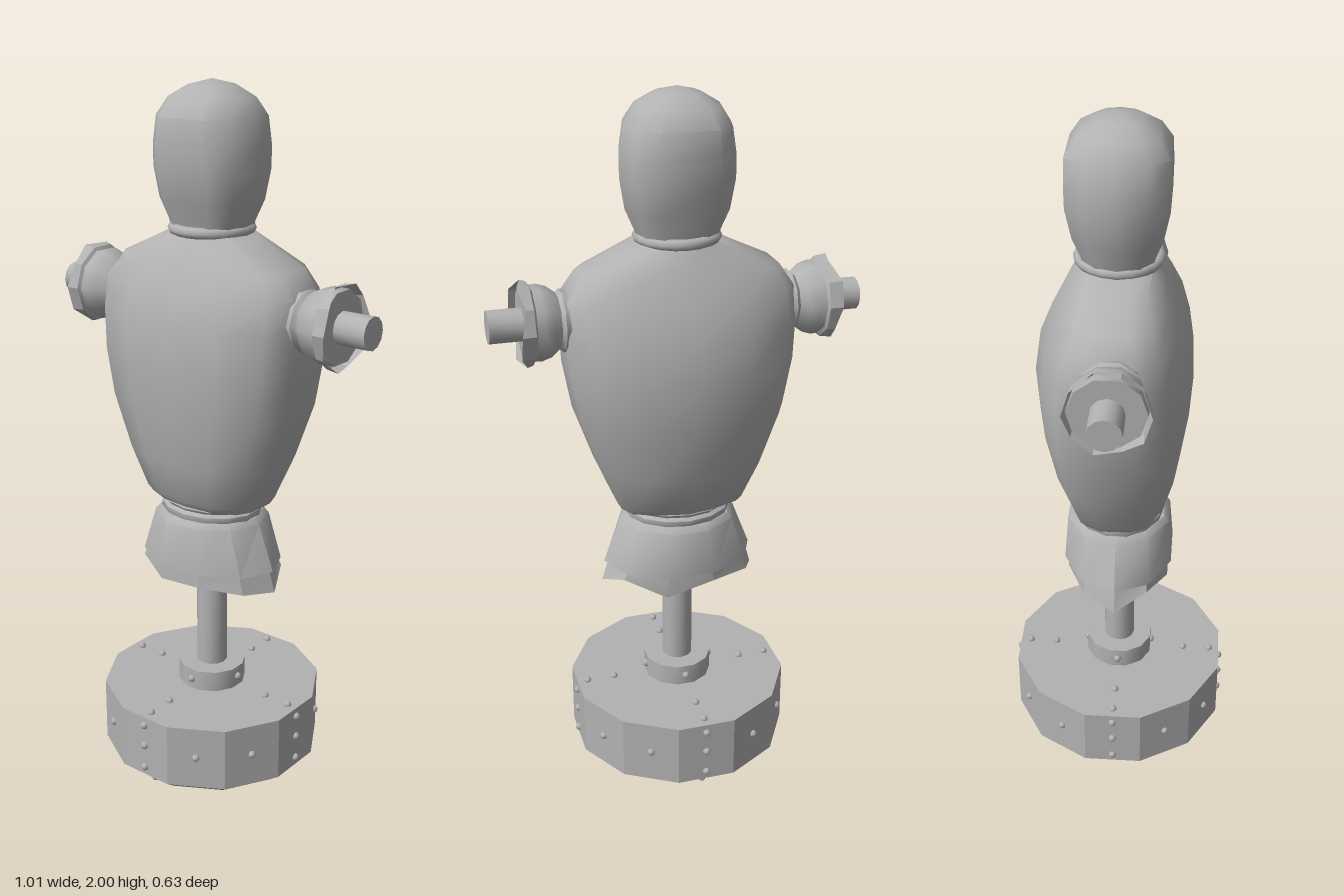
import * as THREE from 'three';
import { toCreasedNormals } from 'three/addons/utils/BufferGeometryUtils.js';

const grey = new THREE.MeshStandardMaterial({ color: 0xb2b2b2 });
grey.name = 'plain grey';
const greyCloth = grey.clone();
greyCloth.name = 'plain grey cloth';
greyCloth.side = THREE.DoubleSide;

// Unit outline of n points, starting at the front and turning to +x
function polygon(n, turn = 0) {
  return Array.from({ length: n }, (_, i) => {
    const a = ((i + turn) / n) * Math.PI * 2;
    return [Math.sin(a), Math.cos(a)];
  });
}

// Skin rings [y, half width, front depth, back depth, y jitter per point] over an outline
function loft(outline, rings, crease) {
  const pos = [], idx = [], n = outline.length;
  for (const [y, w, front, back = front, jag] of rings) {
    outline.forEach(([x, z], i) => {
      pos.push(x * w, y + (jag ? jag[i % jag.length] : 0), z * (z > 0 ? front : back));
    });
  }
  for (let r = 0; r < rings.length - 1; r++) {
    for (let i = 0; i < n; i++) {
      const a = r * n + i, b = r * n + (i + 1) % n;
      if (rings[r][1] > 0) idx.push(a, b, b + n);
      if (rings[r + 1][1] > 0) idx.push(a, b + n, a + n);
    }
  }
  const g = new THREE.BufferGeometry();
  g.setAttribute('position', new THREE.Float32BufferAttribute(pos, 3));
  g.setIndex(idx);
  return toCreasedNormals(g, crease);
}

function add(parent, name, geometry, material = grey) {
  const mesh = new THREE.Mesh(geometry, material);
  mesh.name = name;
  parent.add(mesh);
  return mesh;
}

// Round rings given as [y, radius]
const round = (pairs) => pairs.map(([y, r]) => [y, r, r]);

export function createModel() {
  const model = new THREE.Group();
  model.name = 'trainingDummy';

  // Weighted base with a shallow rounded underside
  add(model, 'base', loft(polygon(12, 0.5), round([
    [0.01, 0], [0.01, 0.085], [0.04, 0.19], [0.075, 0.275], [0.105, 0.315],
    [0.29, 0.315], [0.29, 0],
  ]), 0.48));
  add(model, 'poleCollar', loft(polygon(12, 0.5), round([
    [0.28, 0.097], [0.35, 0.097], [0.35, 0],
  ]), 0.6));
  add(model, 'pole', loft(polygon(12), round([
    [0.28, 0.044], [0.62, 0.044], [0.62, 0],
  ]), 0.6));

  // Rivets along the seams and round the rim
  const rivets = new THREE.Group();
  rivets.name = 'rivets';
  model.add(rivets);
  const rivetShape = new THREE.SphereGeometry(0.011, 8, 6);
  const rivet = (a, r, y) =>
    add(rivets, 'rivet', rivetShape).position.set(Math.sin(a) * r, y, Math.cos(a) * r);
  for (let i = 0; i < 12; i++) {
    const a = (i * Math.PI) / 6;
    rivet(a, 0.305, 0.2);
    if (i % 3 === 0) {
      rivet(a, 0.305, 0.13);
      rivet(a, 0.305, 0.265);
      rivet(a, 0.26, 0.073);
      rivet(a, 0.16, 0.034);
      rivet(a, 0.06, 0.011);
      rivet(a, 0.275, 0.292);
      rivet(a, 0.195, 0.292);
      rivet(a, 0.095, 0.32);
    }
  }

  // Hips: a flared skirt with a torn lower edge
  const hip = polygon(10, 0.5);
  add(model, 'hips', loft(hip, [
    [0.67, 0, 0], [0.69, 0.2, 0.15], [0.69, 0.215, 0.16], [0.82, 0.165, 0.15],
    [0.835, 0.15, 0.135], [0.835, 0, 0],
  ], 0.7));
  add(model, 'tornHem', loft(hip, [
    [0.65, 0.222, 0.15, 0.15, [0.0, -0.01, -0.02, 0.02, -0.025, 0.01, 0.0, -0.03, 0.015, -0.01]],
    [0.7, 0.2, 0.15],
  ], 0.5), greyCloth);
  add(model, 'waist', loft(polygon(14), [
    [0.825, 0.14, 0.12], [0.835, 0.148, 0.128], [0.85, 0.148, 0.128],
    [0.857, 0.138, 0.118], [0.865, 0.152, 0.122], [0.89, 0.14, 0.11],
  ], 0.8));

  // Torso: broad shoulders, flat side panels, rounder back
  const half = [[0, 1], [0.48, 0.93], [0.87, 0.68], [1, 0.33], [1, -0.33], [0.87, -0.66], [0.48, -0.87]];
  const chest = [...half, [0, -1], ...half.slice(1).reverse().map(([x, z]) => [-x, z])];
  add(model, 'torso', loft(chest, [
    [0.865, 0, 0], [0.87, 0.17, 0.12, 0.125], [0.89, 0.182, 0.135, 0.145],
    [1.0, 0.228, 0.165, 0.185], [1.15, 0.28, 0.188, 0.215], [1.28, 0.303, 0.197, 0.224],
    [1.4, 0.31, 0.192, 0.207], [1.48, 0.305, 0.168, 0.175], [1.54, 0.265, 0.14, 0.145],
    [1.585, 0.17, 0.115, 0.12], [1.615, 0.11, 0.095, 0.1], [1.615, 0, 0],
  ], 0.75));

  // Neck roll
  const neck = add(model, 'neckRoll', new THREE.TorusGeometry(0.102, 0.015, 8, 20));
  neck.rotation.x = Math.PI / 2;
  neck.position.y = 1.624;

  // Head with flat front and back panels
  const face = [[0.53, 1], [0.87, 0.62], [1, 0], [0.87, -0.62], [0.53, -1],
    [-0.53, -1], [-0.87, -0.62], [-1, 0], [-0.87, 0.62], [-0.53, 1]];
  add(model, 'head', loft(face, [
    [1.61, 0.105, 0.085], [1.645, 0.114, 0.092], [1.7, 0.138, 0.112], [1.78, 0.151, 0.128],
    [1.84, 0.151, 0.129], [1.91, 0.139, 0.127], [1.955, 0.11, 0.098], [1.985, 0.06, 0.055],
    [2.0, 0, 0],
  ], 0.8));

  // Arm stumps, built upright and turned outwards
  for (const side of [1, -1]) {
    const arm = new THREE.Group();
    arm.name = side > 0 ? 'leftArm' : 'rightArm';
    arm.position.y = 1.42;
    arm.rotation.z = -side * Math.PI / 2;
    model.add(arm);
    add(arm, 'shoulder', loft(polygon(10), round([
      [0.27, 0.075], [0.3, 0.08], [0.312, 0.083], [0.322, 0.074], [0.345, 0.092],
      [0.37, 0.1], [0.415, 0.098], [0.415, 0],
    ]), 0.75));
    add(arm, 'tornCuff', loft(polygon(10), [
      [0.388, 0.097, 0.097], [0.395, 0.109, 0.107],
      [0.423, 0.114, 0.109, 0.109, [0.008, -0.006, 0.006, -0.012, 0.009]],
    ], 0.5), greyCloth);
    add(arm, 'armPeg', loft(polygon(12), round([
      [0.4, 0.044], [0.505, 0.044], [0.505, 0],
    ]), 0.6));
  }

  return model;
}
